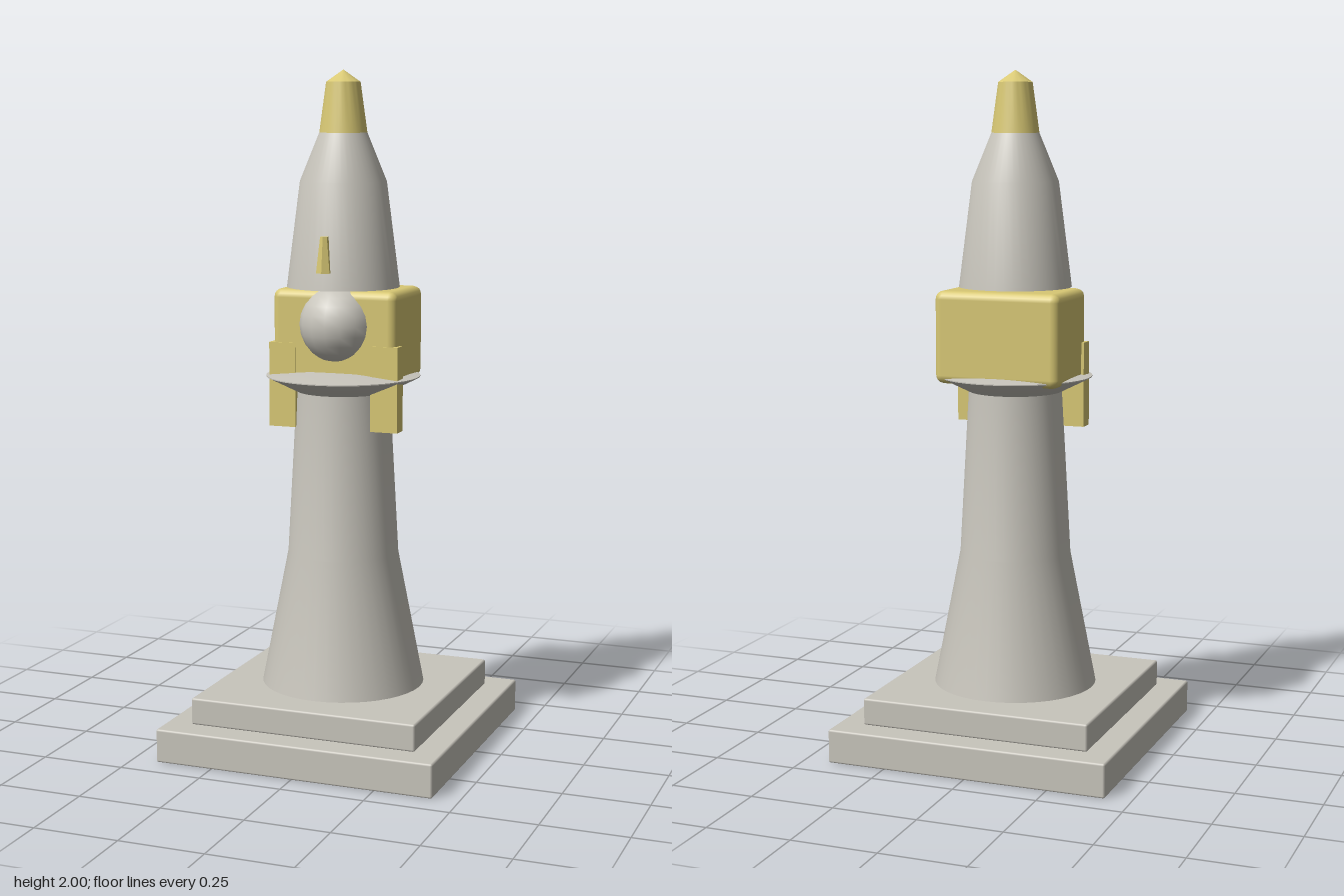
import * as THREE from 'three';
import { toCreasedNormals } from 'three/addons/utils/BufferGeometryUtils.js';
import { RoundedBoxGeometry } from 'three/addons/geometries/RoundedBoxGeometry.js';

export function createModel() {
  const model = new THREE.Group();
  const stone = new THREE.MeshStandardMaterial({ color: 0xc8c5bc });
  stone.name = 'pale stone';
  const gold = new THREE.MeshStandardMaterial({ color: 0xd8c874 });
  gold.name = 'soft gold';

  const add = (name, geometry, material, x = 0, y = 0, z = 0) => {
    const mesh = new THREE.Mesh(geometry, material);
    mesh.name = name;
    mesh.position.set(x, y, z);
    model.add(mesh);
    return mesh;
  };
  // Turned part from [radius, height] pairs, bottom to top
  const turned = (name, profile, material) => add(name, toCreasedNormals(
    new THREE.LatheGeometry(profile.map(([r, y]) => new THREE.Vector2(r, y)), 40), 0.5), material);

  // Stepped square plinth
  add('lowerPlinth', new RoundedBoxGeometry(0.848, 0.1, 0.848, 1, 0.006), stone, 0, 0.05, 0);
  add('upperPlinth', new RoundedBoxGeometry(0.692, 0.08, 0.692, 1, 0.006), stone, 0, 0.14, 0);

  // Flared body and the thin collar above it
  turned('body', [[0, 0.17], [0.243, 0.18], [0.165, 0.58], [0.138, 1.07], [0, 1.07]], stone);
  turned('collar', [[0, 1.063], [0.135, 1.063], [0.228, 1.109], [0.228, 1.112], [0.11, 1.126], [0, 1.128]], stone);

  // Round face set into the gold head covering
  add('face', new THREE.SphereGeometry(0.117, 16, 12), stone, 0, 1.266, 0.036);
  add('headCovering', new RoundedBoxGeometry(0.384, 0.272, 0.252, 2, 0.025), gold, 0, 1.232, -0.041);

  // Hanging side flaps
  for (const side of [1, -1]) {
    add(side > 0 ? 'leftFlap' : 'rightFlap', new THREE.BoxGeometry(0.083, 0.25, 0.049), gold,
      side * 0.1585, 1.085, 0.064);
  }

  // Tall crown with gold tip
  turned('crown', [[0, 1.373], [0.166, 1.373], [0.127, 1.68], [0.07, 1.82]], stone);
  turned('crownTip', [[0.07, 1.82], [0.05, 1.965], [0, 2]], gold);

  // Small six-sided ornament on the front of the crown
  add('crownOrnament', toCreasedNormals(new THREE.CylinderGeometry(0.012, 0.024, 0.104, 6), 0.3),
    gold, 0, 1.476, 0.153);

  return model;
}
